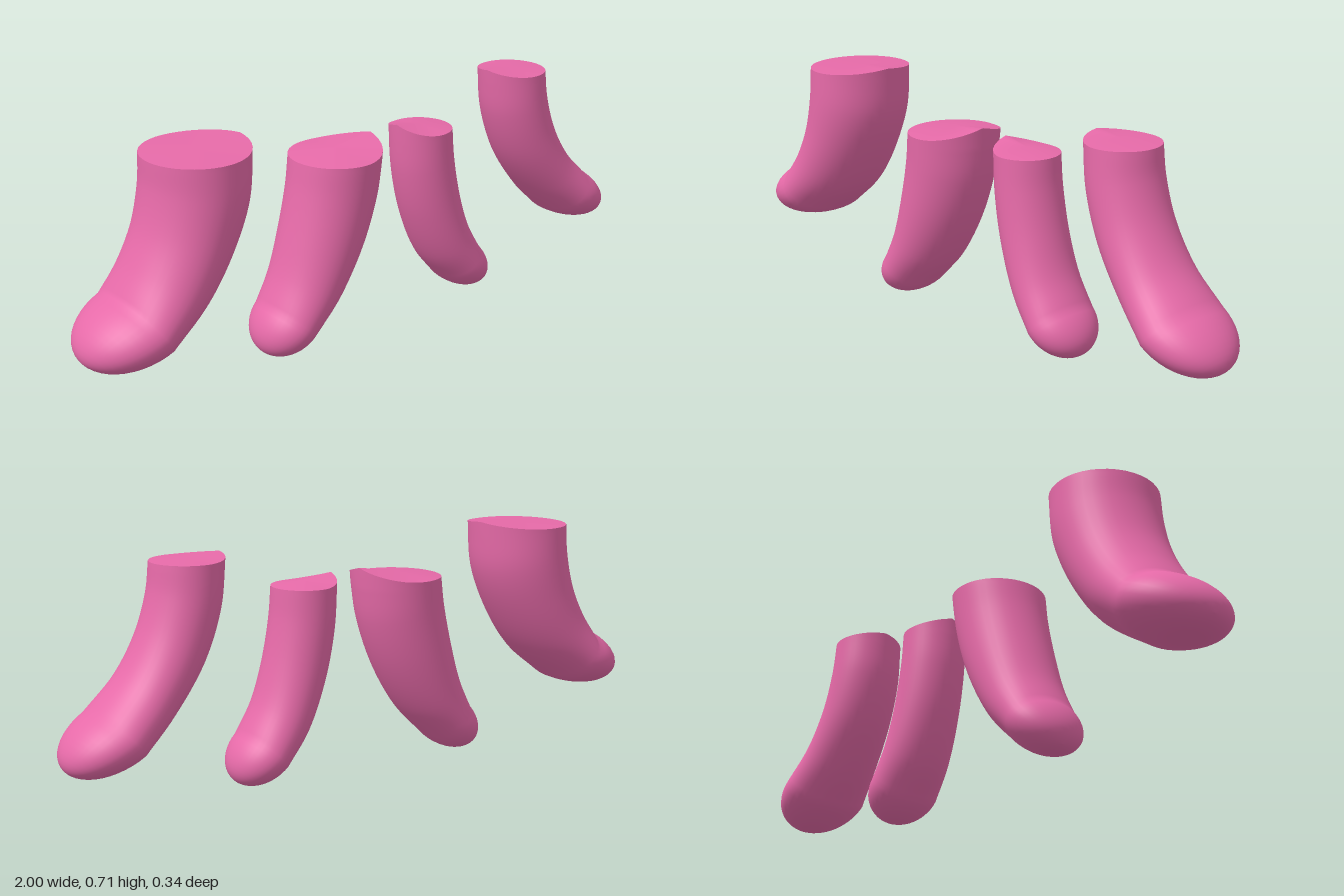
import * as THREE from 'three';

const SIDES = 40, ROWS = 28, CAP_ROWS = 12;

// Each section: outer x, outer y, inner x, inner y, half depth in z.
const LIMBS = [
  { name: 'rightOuterLimb', lift: 0.016, tip: [-0.995, 0.178], sections: [
    [-0.76, 0.702, -0.455, 0.702, 0.163], [-0.765, 0.62, -0.47, 0.56, 0.165],
    [-0.79, 0.51, -0.53, 0.42, 0.163], [-0.83, 0.42, -0.63, 0.28, 0.164],
    [-0.88, 0.335, -0.77, 0.172, 0.171]] },
  { name: 'rightInnerLimb', lift: 0.036, tip: [-0.397, 0.02], sections: [
    [-0.257, 0.583, 0.015, 0.583, 0.145], [-0.27, 0.5, -0.005, 0.45, 0.14],
    [-0.3, 0.37, -0.06, 0.3, 0.135], [-0.335, 0.25, -0.15, 0.155, 0.128],
    [-0.375, 0.16, -0.25, 0.055, 0.123]] },
  { name: 'leftInnerLimb', lift: 0.028, tip: [0.455, 0.035], sections: [
    [0.31, 0.59, 0.118, 0.59, 0.1], [0.318, 0.5, 0.128, 0.46, 0.102],
    [0.343, 0.37, 0.163, 0.31, 0.105], [0.377, 0.26, 0.23, 0.16, 0.11],
    [0.425, 0.17, 0.31, 0.063, 0.115]] },
  { name: 'leftOuterLimb', lift: 0.015, tip: [0.985, 0.158], sections: [
    [0.705, 0.702, 0.495, 0.702, 0.11], [0.715, 0.62, 0.513, 0.567, 0.114],
    [0.75, 0.51, 0.572, 0.417, 0.118], [0.81, 0.405, 0.68, 0.273, 0.127],
    [0.9, 0.31, 0.78, 0.18, 0.145]] },
];

function geometryFrom(positions, indices) {
  const g = new THREE.BufferGeometry();
  g.setAttribute('position', new THREE.Float32BufferAttribute(positions, 3));
  g.setIndex(indices);
  g.computeVertexNormals();
  return g;
}

function buildLimb({ name, lift, tip, sections }, material) {
  const outer = new THREE.CatmullRomCurve3(sections.map(s => new THREE.Vector3(s[0], s[1], s[4])));
  const inner = new THREE.CatmullRomCurve3(sections.map(s => new THREE.Vector3(s[2], s[3], s[4])));
  const turn = Math.sign(sections[0][2] - sections[0][0]);
  const positions = [], indices = [];

  // One elliptical ring; the inner rim of the top ring rises to a soft peak.
  const addRing = (centre, half, depth, rise = 0) => {
    for (let j = 0; j < SIDES; j++) {
      const a = (j / SIDES) * Math.PI * 2, c = Math.cos(a), s = Math.sin(a);
      const peak = c > 0 ? rise * (1 - Math.abs(s)) : 0;
      positions.push(centre.x + half.x * c, centre.y + half.y * c + peak, turn * depth * s);
    }
  };

  // Curved body
  let centre, half, depth;
  for (let i = 0; i <= ROWS; i++) {
    const a = outer.getPoint(i / ROWS), b = inner.getPoint(i / ROWS);
    centre = a.clone().add(b).multiplyScalar(0.5);
    half = b.clone().sub(centre);
    depth = a.z;
    addRing(centre, half, depth, i === 0 ? lift : 0);
  }

  // Rounded tip
  const reach = new THREE.Vector3(tip[0], tip[1], centre.z).sub(centre);
  for (let i = 1; i <= CAP_ROWS; i++) {
    const t = (i / CAP_ROWS) * Math.PI / 2, k = Math.cos(t);
    addRing(centre.clone().addScaledVector(reach, Math.sin(t)),
      half.clone().multiplyScalar(k), depth * k);
  }

  for (let i = 0; i < ROWS + CAP_ROWS; i++) {
    for (let j = 0; j < SIDES; j++) {
      const n = (j + 1) % SIDES;
      const a = i * SIDES + j, b = i * SIDES + n;
      indices.push(a, b, a + SIDES, b, b + SIDES, a + SIDES);
    }
  }

  // Closed top end
  const top = positions.slice(0, SIDES * 3), topFaces = [];
  const first = sections[0];
  top.push((first[0] + first[2]) / 2, first[1] + lift / 2, 0);
  for (let j = 0; j < SIDES; j++) topFaces.push(SIDES, (j + 1) % SIDES, j);

  const limb = new THREE.Group();
  limb.name = name;
  const body = new THREE.Mesh(geometryFrom(positions, indices), material);
  body.name = 'limbBody';
  const end = new THREE.Mesh(geometryFrom(top, topFaces), material);
  end.name = 'limbTop';
  limb.add(body, end);
  return limb;
}

export function createModel() {
  const group = new THREE.Group();
  group.name = 'curvedLimbs';
  const material = new THREE.MeshStandardMaterial({ color: 0xe66aa8 });
  for (const limb of LIMBS) group.add(buildLimb(limb, material));
  return group;
}
